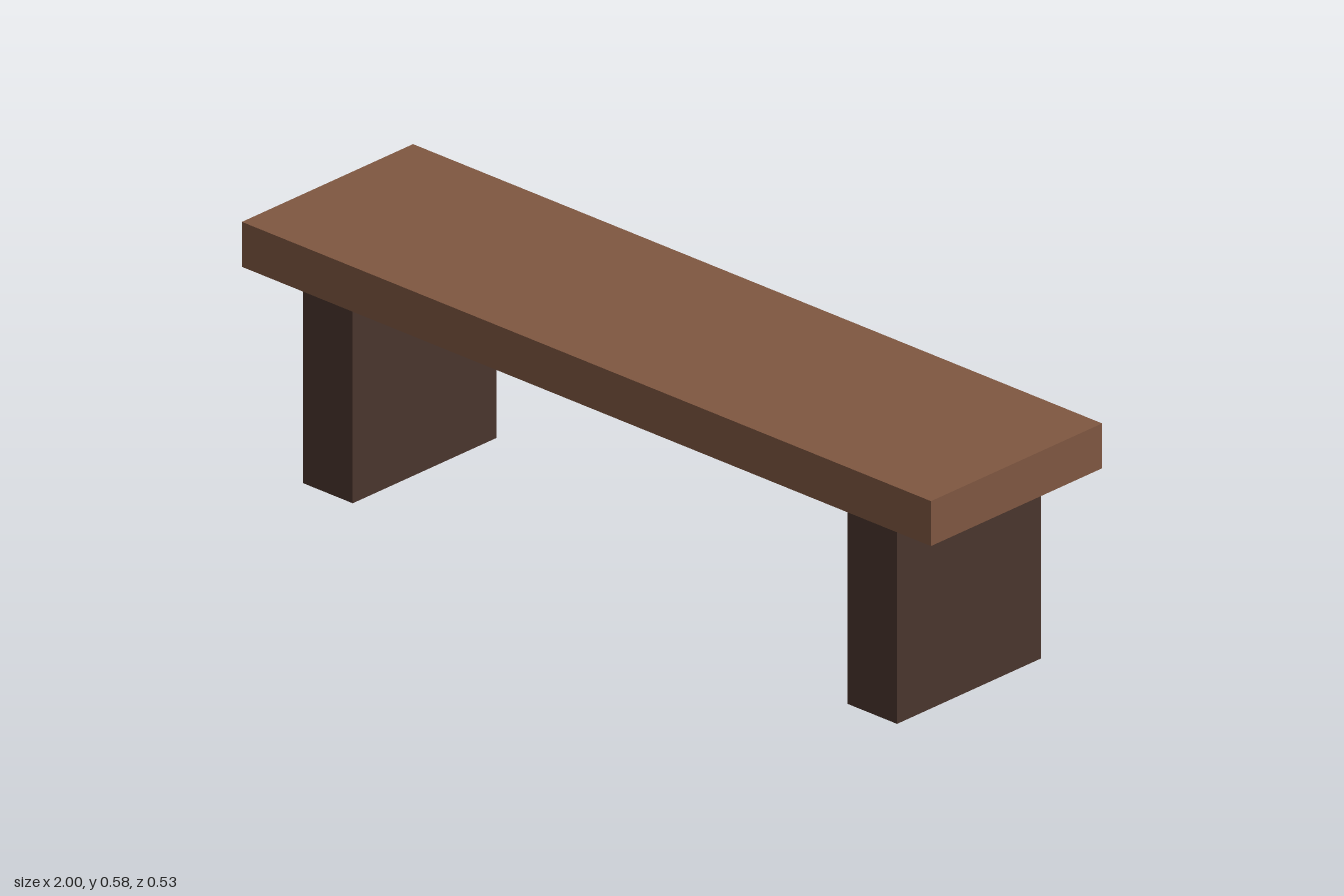
import * as THREE from 'three';

export function createModel() {
  const bench = new THREE.Group();
  bench.name = 'bench';

  const seatWood = new THREE.MeshStandardMaterial({ color: 0x7f5741 });
  seatWood.name = 'seat wood';
  const legWood = new THREE.MeshStandardMaterial({ color: 0x4a352d });
  legWood.name = 'dark leg wood';

  const legHeight = 0.475;
  const seatThickness = 0.105;

  // Adds a box standing on the given height
  function addBox(name, material, width, height, depth, x, bottom) {
    const mesh = new THREE.Mesh(new THREE.BoxGeometry(width, height, depth), material);
    mesh.name = name;
    mesh.position.set(x, bottom + height / 2, 0);
    bench.add(mesh);
  }

  // Seat plank
  addBox('seat', seatWood, 2, seatThickness, 0.526, 0, legHeight);

  // Slab legs, mirrored left and right
  for (const side of [1, -1]) {
    addBox(side > 0 ? 'leftLeg' : 'rightLeg', legWood, 0.144, legHeight, 0.442, side * 0.79, 0);
  }

  return bench;
}
